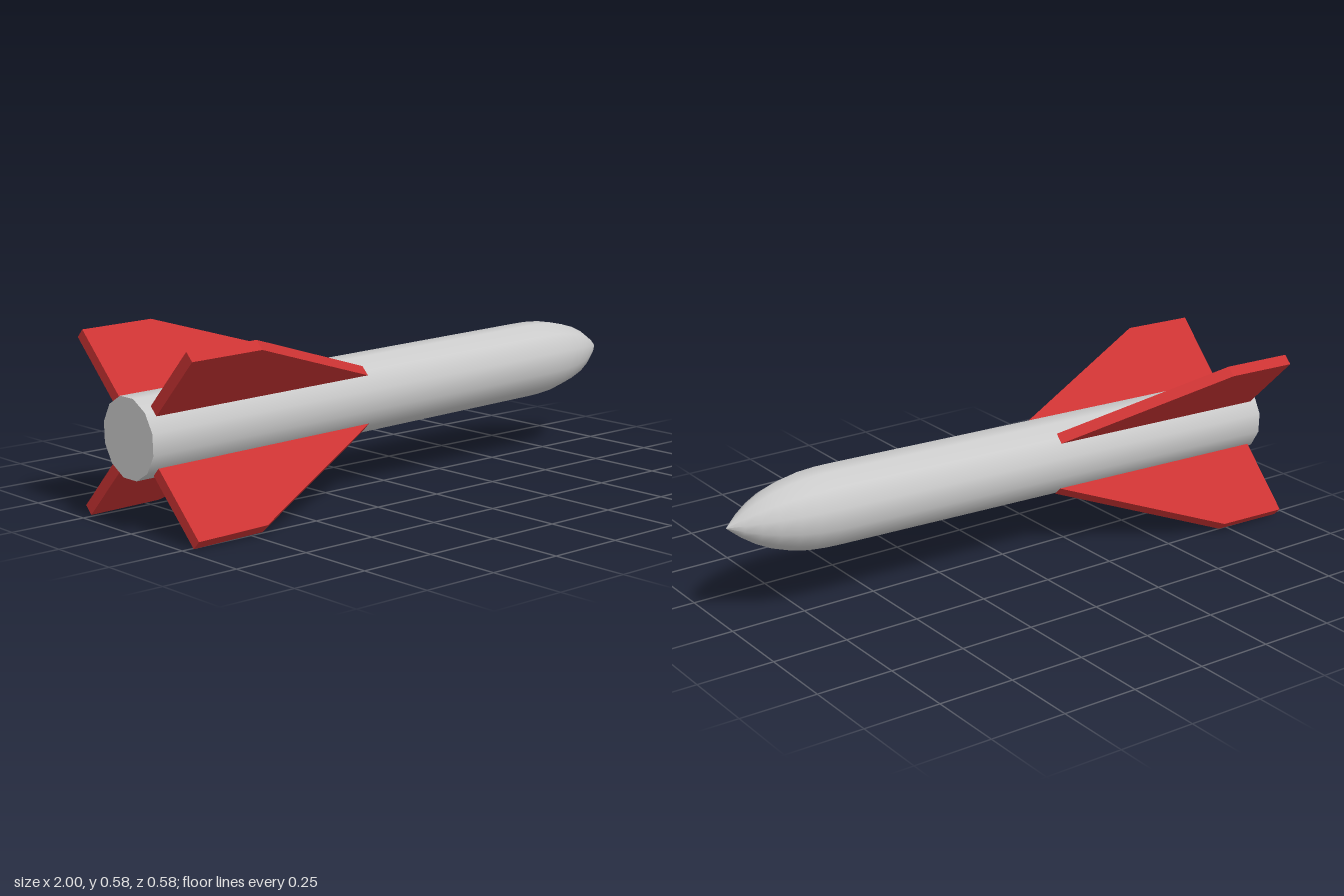
import * as THREE from 'three';

const SIDES = 12;
const RADIUS = 0.127;
const OFFSET = Math.PI / SIDES;

export function createModel() {
  const model = new THREE.Group();
  model.name = 'rocket';
  const grey = new THREE.MeshStandardMaterial({ color: 0xcccccc });
  const red = new THREE.MeshStandardMaterial({ color: 0xcc3333 });

  // The whole rocket lies along x, pitched slightly nose-up
  const rocket = new THREE.Group();
  rocket.name = 'rocketBody';
  rocket.position.set(0, 0.3115, 0.003);
  rocket.rotation.set(0, -0.006, 0.0236);
  model.add(rocket);

  const add = (name, geometry, material) => {
    const mesh = new THREE.Mesh(geometry, material);
    mesh.name = name;
    rocket.add(mesh);
    return mesh;
  };

  // Tube and pointed nose as one smooth 12-sided lathe
  const profile = [
    [RADIUS, -1], [RADIUS, 0.63], [0.126, 0.68], [0.121, 0.74], [0.109, 0.8],
    [0.09, 0.86], [0.066, 0.91], [0.037, 0.955], [0, 1],
  ].map(([r, x]) => new THREE.Vector2(r, x));
  const hull = new THREE.LatheGeometry(profile, SIDES, OFFSET);
  hull.rotateZ(-Math.PI / 2);
  add('hull', hull, grey);

  // Flat tail end
  const tail = new THREE.CircleGeometry(RADIUS, SIDES, OFFSET);
  tail.rotateY(-Math.PI / 2);
  tail.translate(-1, 0, 0);
  add('tailCap', tail, grey);

  // Four swept fins on the diagonals
  const thickness = 0.037;
  const outline = new THREE.Shape([
    [-0.97, 0.128], [-0.16, 0.128], [-0.72, 0.387], [-0.97, 0.387],
  ].map(([x, y]) => new THREE.Vector2(x, y)));
  const fin = new THREE.ExtrudeGeometry(outline, { depth: thickness, bevelEnabled: false });
  fin.translate(0, 0, -thickness / 2);
  ['finUpperFront', 'finLowerFront', 'finLowerBack', 'finUpperBack'].forEach((name, i) => {
    add(name, fin, red).rotation.x = Math.PI / 4 + i * Math.PI / 2;
  });

  return model;
}
